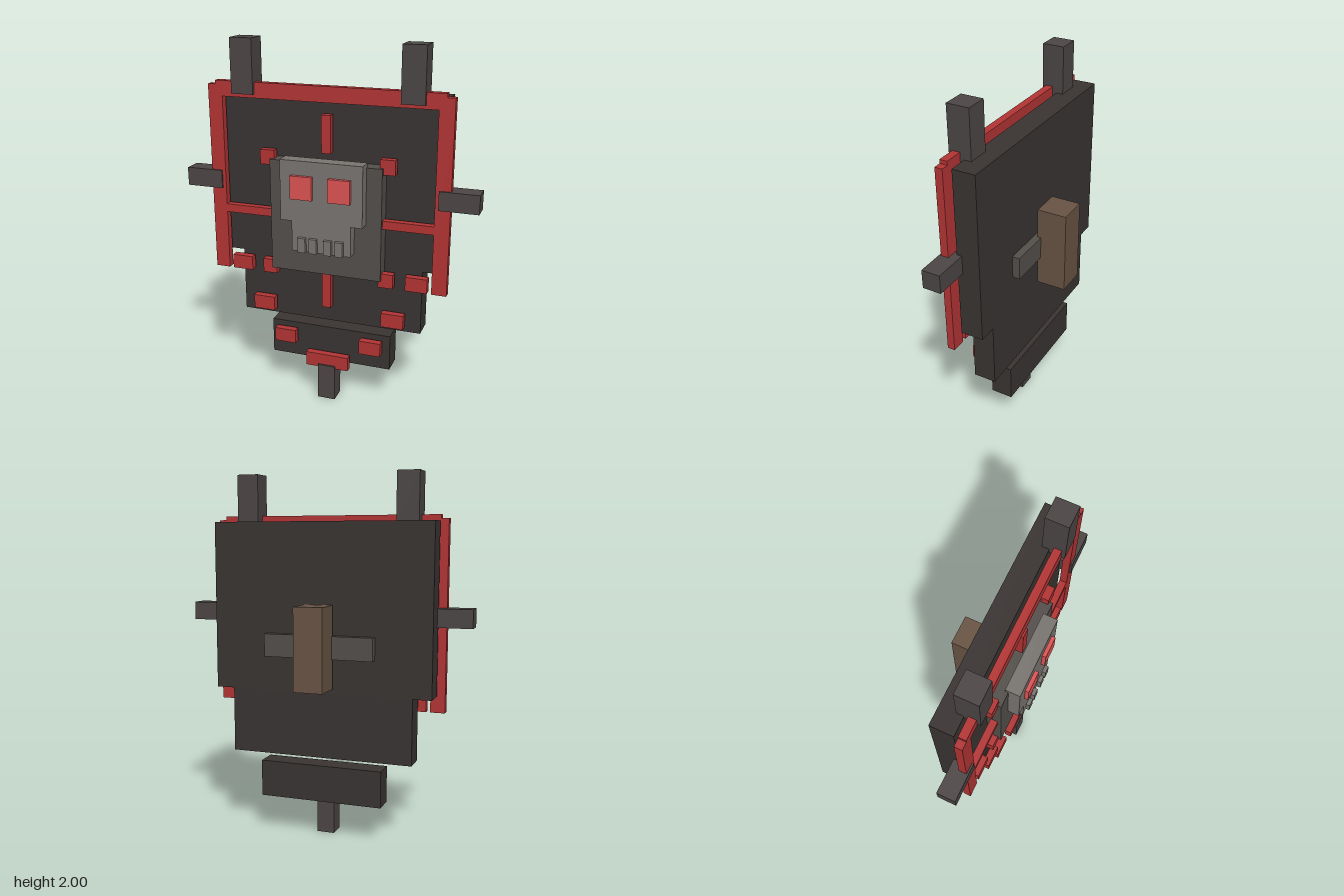
import * as THREE from 'three';

const mat = (color) => new THREE.MeshStandardMaterial({ color });

export function createModel() {
  const group = new THREE.Group();
  const dark = mat(0x3a3533), iron = mat(0x4d4746), red = mat(0xb53535), glow = mat(0xe05555);
  const bone = mat(0x7a7672), stone = mat(0x55504c), wood = mat(0x6a5545);

  // Box given by its extents on each axis
  function box(name, material, [x0, x1], [y0, y1], [z0, z1]) {
    const mesh = new THREE.Mesh(new THREE.BoxGeometry(x1 - x0, y1 - y0, z1 - z0), material);
    mesh.position.set((x0 + x1) / 2, (y0 + y1) / 2, (z0 + z1) / 2);
    mesh.name = name;
    group.add(mesh);
  }
  // Box plus its mirror image across x = 0
  function pair(name, material, [x0, x1], y, z) {
    box(name + 'Left', material, [x0, x1], y, z);
    box(name + 'Right', material, [-x1, -x0], y, z);
  }

  // Shield board, stepping in towards the bottom
  const board = [-0.052, 0.071];
  box('upperBoard', dark, [-0.617, 0.617], [0.82, 1.742], board);
  box('middleBoard', dark, [-0.515, 0.515], [0.46, 0.82], board);
  box('lowerBoard', dark, [-0.348, 0.348], [0.21, 0.413], board);

  // Spikes around the edge
  pair('topSpike', iron, [0.393, 0.515], [1.713, 2], [0.032, 0.152]);
  pair('sideSpike', iron, [0.597, 0.803], [1.19, 1.29], [0.043, 0.143]);
  box('bottomSpike', iron, [-0.05, 0.05], [0, 0.207], [0.042, 0.142]);

  // Red frame and cross bars
  const trim = [0.092, 0.133];
  box('frameTop', red, [-0.617, 0.617], [1.693, 1.775], trim);
  pair('frameSide', red, [0.578, 0.658], [0.727, 1.755], trim);
  box('crossBarTop', red, [-0.025, 0.025], [1.43, 1.63], trim);
  box('crossBarBottom', red, [-0.025, 0.025], [0.565, 0.77], trim);
  pair('crossBarSide', red, [0.305, 0.578], [1.055, 1.1], trim);

  // Red studs
  pair('upperStud', red, [0.29, 0.37], [1.345, 1.425], trim);
  pair('innerStud', red, [0.29, 0.37], [0.727, 0.805], trim);
  pair('outerStud', red, [0.437, 0.555], [0.727, 0.805], trim);
  pair('middleStud', red, [0.31, 0.433], [0.498, 0.577], trim);
  pair('lowerStud', red, [0.187, 0.309], [0.312, 0.39], trim);
  box('bottomStud', red, [-0.123, 0.123], [0.19, 0.27], trim);

  // Skull emblem on its backing plate
  box('skullPlate', stone, [-0.308, 0.308], [0.768, 1.38], [0.071, 0.152]);
  box('skullCranium', bone, [-0.225, 0.225], [1.075, 1.402], [0.134, 0.215]);
  box('skullJaw', bone, [-0.163, 0.163], [0.91, 1.075], [0.134, 0.215]);
  pair('eye', glow, [0.043, 0.163], [1.2, 1.325], [0.205, 0.236]);
  for (const [x0, x1] of [[0.02, 0.062], [0.082, 0.125]])
    pair('tooth', bone, [x0, x1], [0.91, 0.99], [0.205, 0.236]);

  // Handle at the back
  box('handleBar', stone, [-0.308, 0.308], [1.013, 1.138], [-0.093, -0.045]);
  box('handleGrip', wood, [-0.081, 0.081], [0.852, 1.302], [-0.236, -0.074]);

  return group;
}
